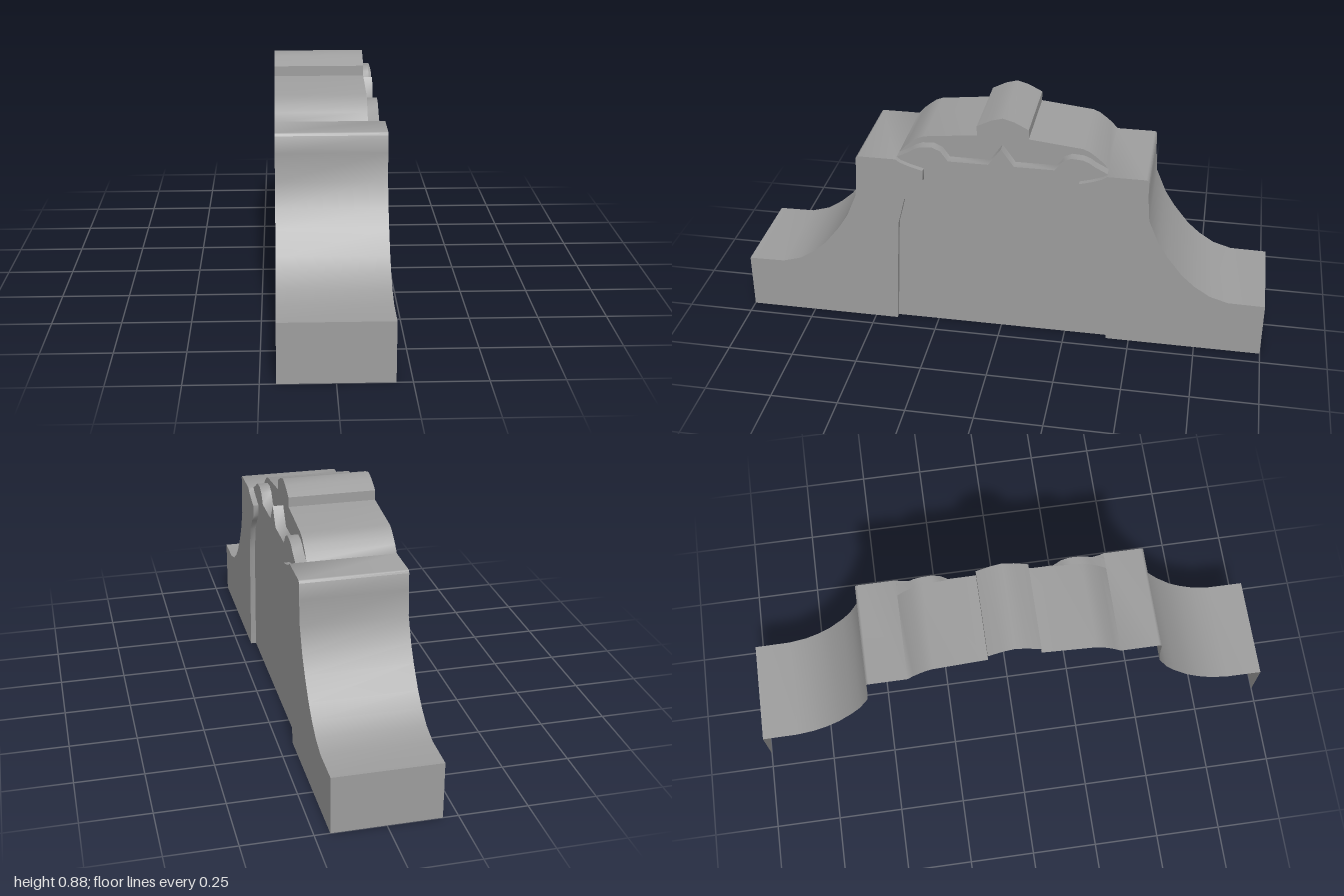
import * as THREE from 'three';
import { mergeGeometries, toCreasedNormals } from 'three/addons/utils/BufferGeometryUtils.js';

// Depths along x: open back, recessed crown, centre panel, proud wings
const BACK = -0.195, CROWN = 0.134, PANEL = 0.174, WING = 0.195;

// Half profiles as [-z, y], running from the outer end towards the middle
const wingOuter = [
  [-1, 0], [-1, 0.215], [-0.863, 0.217], [-0.793, 0.238], [-0.734, 0.276], [-0.686, 0.319],
  [-0.627, 0.394], [-0.59, 0.453], [-0.552, 0.544], [-0.544, 0.64], [-0.543, 0.702],
  [-0.54, 0.709], [-0.533, 0.712], [-0.391, 0.712],
];
const wingInner = [
  [-0.391, 0.712], [-0.375, 0.7], [-0.335, 0.685], [-0.29, 0.673], [-0.29, 0.63],
  [-0.325, 0.595], [-0.364, 0.544], [-0.391, 0.437], [-0.413, 0],
];
const crownHalf = [
  [-0.391, 0.712], [-0.367, 0.738], [-0.343, 0.758], [-0.32, 0.775], [-0.295, 0.785],
  [-0.096, 0.807], [-0.096, 0.844], [-0.043, 0.871], [0, 0.883],
];
const panelHalf = [
  [-0.391, 0.712], [-0.343, 0.737], [-0.325, 0.75], [-0.3, 0.76], [-0.257, 0.763],
  [-0.225, 0.748], [-0.198, 0.71], [-0.048, 0.71], [0, 0.778],
];

const mirror = (pts) => pts.map(([u, y]) => [-u, y]).reverse();
const whole = (half) => [...half, ...mirror(half).slice(1)];

const material = new THREE.MeshStandardMaterial({ color: 0x9d9d9d, side: THREE.DoubleSide });

function add(group, name, geometry) {
  const mesh = new THREE.Mesh(geometry, material);
  mesh.name = name;
  group.add(mesh);
}

// Flat face in the plane x = const, looking towards +x
function face(pts, x) {
  const shape = new THREE.Shape(pts.map(([u, y]) => new THREE.Vector2(u, y)));
  return new THREE.ShapeGeometry(shape).rotateY(Math.PI / 2).translate(x, 0, 0);
}

// Strip that sweeps a profile along x
function ribbon(pts, x0, x1) {
  const pos = [];
  for (let i = 0; i < pts.length - 1; i++) {
    const [[u0, y0], [u1, y1]] = [pts[i], pts[i + 1]];
    const a = [x0, y0, -u0], b = [x1, y0, -u0], c = [x1, y1, -u1], d = [x0, y1, -u1];
    pos.push(...a, ...b, ...c, ...a, ...c, ...d);
  }
  const geometry = new THREE.BufferGeometry();
  geometry.setAttribute('position', new THREE.Float32BufferAttribute(pos, 3));
  return geometry;
}

// Joins strips and smooths every bend gentler than a sharp corner
const smooth = (...ribbons) => toCreasedNormals(mergeGeometries(ribbons), 1);

export function createModel() {
  const model = new THREE.Group();
  model.name = 'scrolledPediment';

  // Proud faces of the curved side wings
  add(model, 'frontWingFace', face([...wingOuter, ...wingInner.slice(1)], WING));
  add(model, 'backWingFace', face(mirror([...wingOuter, ...wingInner.slice(1)]), WING));

  // Moulding over both wings and the crown, with the wings' steps down to the panel
  const crown = whole(crownHalf);
  add(model, 'outerMoulding', smooth(
    ribbon(wingOuter, BACK, WING),
    ribbon(wingInner, PANEL, WING),
    ribbon(crown, BACK, CROWN),
    ribbon(mirror(wingInner), PANEL, WING),
    ribbon(mirror(wingOuter), BACK, WING),
  ));

  // Centre panel with its scalloped top edge
  const panelTop = whole(panelHalf);
  const foot = [...wingInner].reverse().slice(0, -1);
  add(model, 'centrePanel', face([...foot, ...panelTop, ...mirror(foot)], PANEL));
  add(model, 'panelTopEdge', smooth(ribbon(panelTop, CROWN, PANEL)));

  // Face of the crown, set back behind the panel
  add(model, 'crownFace', face([...crown, ...[...panelTop].reverse().slice(1, -1)], CROWN));

  return model;
}
